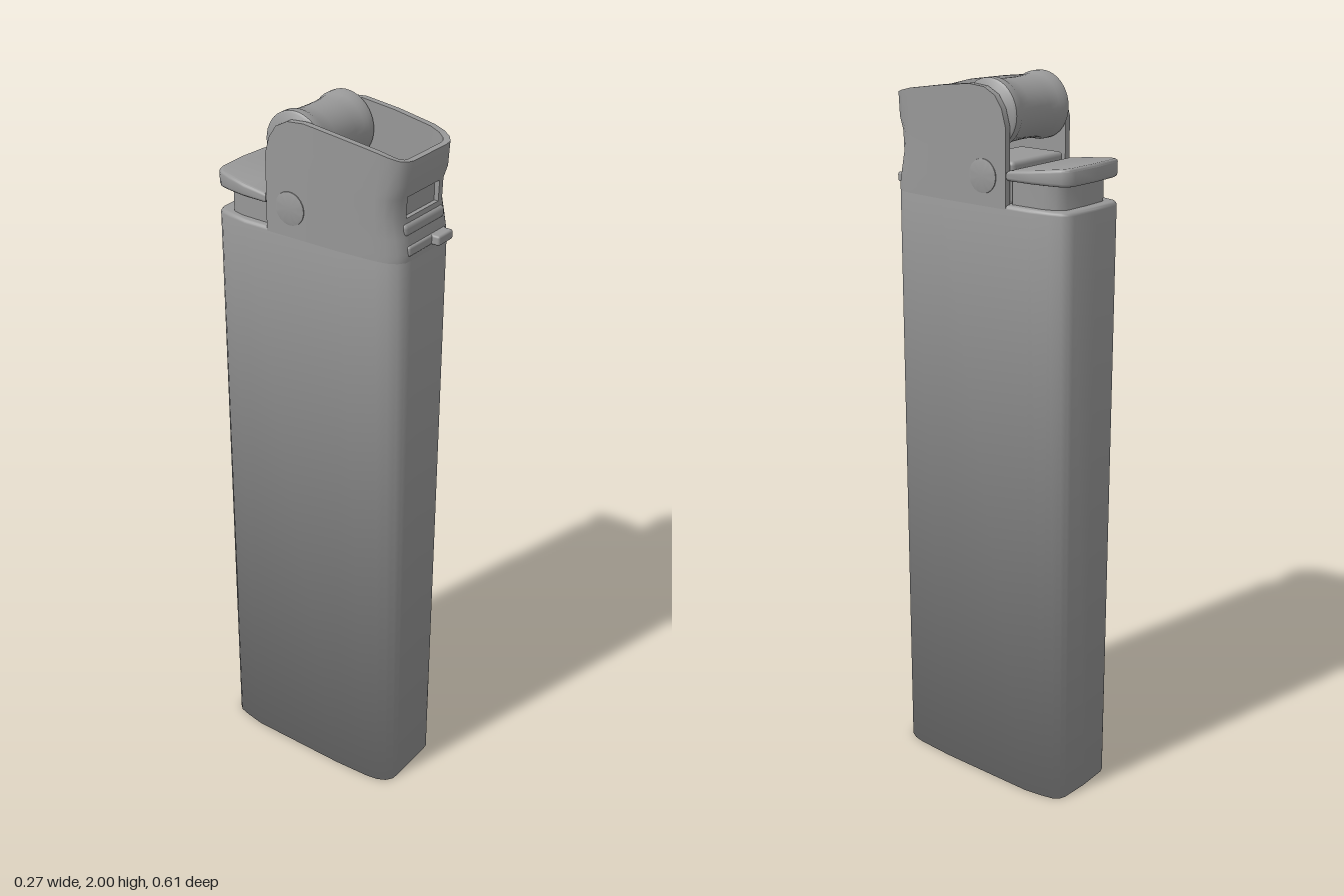
import * as THREE from 'three';
import { toCreasedNormals } from 'three/addons/utils/BufferGeometryUtils.js';
import { RoundedBoxGeometry } from 'three/addons/geometries/RoundedBoxGeometry.js';

const material = new THREE.MeshStandardMaterial({ color: 0x989898 });

// Half outline of the body (x, z), from the back middle to the front middle
const HALF = [[0, -0.308], [0.085, -0.304], [0.101, -0.298], [0.114, -0.283], [0.122, -0.25], [0.131, -0.195],
  [0.132, 0.1], [0.126, 0.21], [0.12, 0.242], [0.108, 0.265], [0.09, 0.278], [0.07, 0.28]];

// Upright prism over a mirrored half outline, with a small bevel
function prism(half, y0, y1, bevel) {
  const all = [...half, ...half.filter(p => p[0] > 0).reverse().map(([x, z]) => [-x, z])];
  const shape = new THREE.Shape(all.map(([x, z]) => new THREE.Vector2(x, -z)));
  const geo = new THREE.ExtrudeGeometry(shape, {
    depth: y1 - y0 - 2 * bevel, bevelEnabled: bevel > 0,
    bevelSize: bevel, bevelThickness: bevel, bevelOffset: -bevel, bevelSegments: 3,
  });
  geo.rotateX(-Math.PI / 2).translate(0, y0 + bevel, 0);
  return geo;
}

// Body: bevelled at the top, flat at the bottom, where the shading blends into the walls
function bodyGeometry() {
  let geo = prism(HALF, -0.01, 1.69, 0.01);
  const flat = geo.attributes.position;
  for (let i = 0; i < flat.count; i++) flat.setY(i, Math.max(flat.getY(i), 0));
  geo = toCreasedNormals(geo, 0.7);
  const pos = geo.attributes.position, n = new THREE.Vector3();
  for (let i = 0; i < pos.count; i++) {
    if (pos.getY(i) > 0.001) continue;
    n.set((pos.getX(i) / 0.132) ** 7 / 0.132, 0, ((pos.getZ(i) + 0.014) / 0.294) ** 7 / 0.294).normalize();
    n.setY(-0.9).normalize();
    geo.attributes.normal.setXYZ(i, n.x, n.y, n.z);
  }
  return geo;
}

// Metal hood: a U-shaped wall of constant thickness with a slot in the front
function hoodGeometry() {
  const thickness = 0.018;
  // x, z and rim height for each column of the left half
  const half = [[0.132, -0.12, 1.885], [0.132, -0.107, 1.93], [0.132, -0.085, 1.962], [0.132, -0.05, 1.98],
    [0.132, 0, 1.984], [0.132, 0.1, 1.972], [0.126, 0.21, 1.955], [0.12, 0.242, 1.947], [0.108, 0.265, 1.94],
    [0.09, 0.278, 1.937], [0.07, 0.28, 1.935]];
  const cols = [...half, ...half.slice().reverse().map(([x, z, t]) => [-x, z, t])];
  // height and inward dent of the front for each row; the last row is the rim
  const rows = [[1.68, 0], [1.7, 0], [1.74, 0.008], [1.785, 0.018], [1.84, 0.016], [1.875, 0.004], [null, 0]];
  const point = (i, j, inner) => {
    const [x, z, top] = cols[i];
    const a = cols[Math.max(i - 1, 0)], b = cols[Math.min(i + 1, cols.length - 1)];
    const tx = b[0] - a[0], tz = b[1] - a[1], len = Math.hypot(tx, tz);
    const d = inner ? thickness / len : 0;
    const dent = rows[j][1] * THREE.MathUtils.clamp((z - 0.2) / 0.07, 0, 1);
    return [x - tz * d, rows[j][0] ?? top, z + tx * d - dent];
  };
  const nI = cols.length - 1, nJ = rows.length - 1, slot = half.length - 1;
  const solid = (i, j) => i >= 0 && j >= 0 && i < nI && j < nJ && !(i === slot && j === 3);
  const pos = [];
  const quad = (a, b, c, d) => pos.push(...a, ...b, ...c, ...a, ...c, ...d);
  for (let i = 0; i < nI; i++) for (let j = 0; j < nJ; j++) {
    if (!solid(i, j)) continue;
    const ring = [[i + 1, j], [i, j], [i, j + 1], [i + 1, j + 1]];
    const out = ring.map(([u, v]) => point(u, v, false));
    const inn = ring.map(([u, v]) => point(u, v, true));
    quad(...out);
    quad(...inn.slice().reverse());
    // close the wall wherever there is no neighbouring cell
    [[i, j - 1], [i - 1, j], [i, j + 1], [i + 1, j]].forEach(([u, v], k) => {
      const n = (k + 1) % 4;
      if (!solid(u, v)) quad(out[n], out[k], inn[k], inn[n]);
    });
  }
  const geo = new THREE.BufferGeometry();
  geo.setAttribute('position', new THREE.Float32BufferAttribute(pos, 3));
  return geo;
}

export function createModel() {
  const model = new THREE.Group();
  const place = (name, geo, x = 0, y = 0, z = 0) => {
    const mesh = new THREE.Mesh(geo, material);
    mesh.name = name;
    mesh.position.set(x, y, z);
    model.add(mesh);
  };
  const add = (name, geo, ...at) => place(name, toCreasedNormals(geo, 0.7), ...at);
  const box = (name, w, h, d, x, y, z, r = 0.006) =>
    place(name, new RoundedBoxGeometry(w, h, d, 2, r), x, y, z);
  const lathe = (profile, sides) =>
    new THREE.LatheGeometry(profile.map(p => new THREE.Vector2(...p)), sides);

  // Fuel body
  place('body', bodyGeometry());

  // Hood with the closed slot, ledge and valve tab on its front
  add('hood', hoodGeometry());
  box('slotBacking', 0.17, 0.075, 0.014, 0, 1.812, 0.243, 0.003);
  box('slotLedge', 0.176, 0.034, 0.03, 0, 1.757, 0.258, 0.012);
  box('valveSlot', 0.166, 0.026, 0.02, 0, 1.706, 0.273);
  box('valveTab', 0.064, 0.026, 0.045, 0.046, 1.706, 0.2825);

  // Flame nozzle inside the hood
  const nozzle = [[0, 0], [0.103, 0], [0.103, 0.02], [0.06, 0.045], [0.016, 0.085], [0.016, 0.1], [0, 0.1]];
  add('nozzle', lathe(nozzle, 24), 0, 1.69, 0.138);

  // Spark wheel: two rims with a waisted roller between, lying along x
  const halfWheel = [[0.079, 0], [0.08, 0.04], [0.083, 0.074], [0.088, 0.085], [0.088, 0.106], [0.082, 0.111], [0, 0.111]];
  const wheel = [...halfWheel.slice(1).reverse().map(([r, h]) => [r, -h]), ...halfWheel];
  add('sparkWheel', lathe(wheel, 40).rotateZ(Math.PI / 2), 0, 1.912, -0.047);
  add('wheelAxle', new THREE.CylinderGeometry(0.02, 0.02, 0.25, 16).rotateZ(Math.PI / 2), 0, 1.912, -0.047);

  // Domed pivot pins on both sides
  const pin = [[0.045, 0], [0.044, 0.005], [0.036, 0.007], [0, 0.008]];
  for (const side of [1, -1]) {
    add('pivotPin', lathe(pin, 28).rotateZ(-side * Math.PI / 2), side * 0.129, 1.757, -0.045);
  }

  // Thumb lever: neck, sloping pad and the arm reaching under the wheel
  const neck = [[0, -0.277], [0.075, -0.274], [0.098, -0.255], [0.108, -0.22], [0.11, -0.125]];
  add('leverNeck', prism(neck, 1.68, 1.76, 0));
  const padGeo = prism([...HALF.slice(0, 6), [0.132, -0.122]], 1.752, 1.8, 0.009);
  const p = padGeo.attributes.position;
  for (let i = 0; i < p.count; i++) {
    const f = THREE.MathUtils.clamp((p.getZ(i) + 0.305) / 0.185, 0, 1);
    if (p.getY(i) > 1.776) p.setY(i, p.getY(i) - 0.022 * f);
  }
  add('leverPad', padGeo);
  box('leverArm', 0.21, 0.11, 0.145, 0, 1.742, -0.05, 0.012);

  return model;
}
